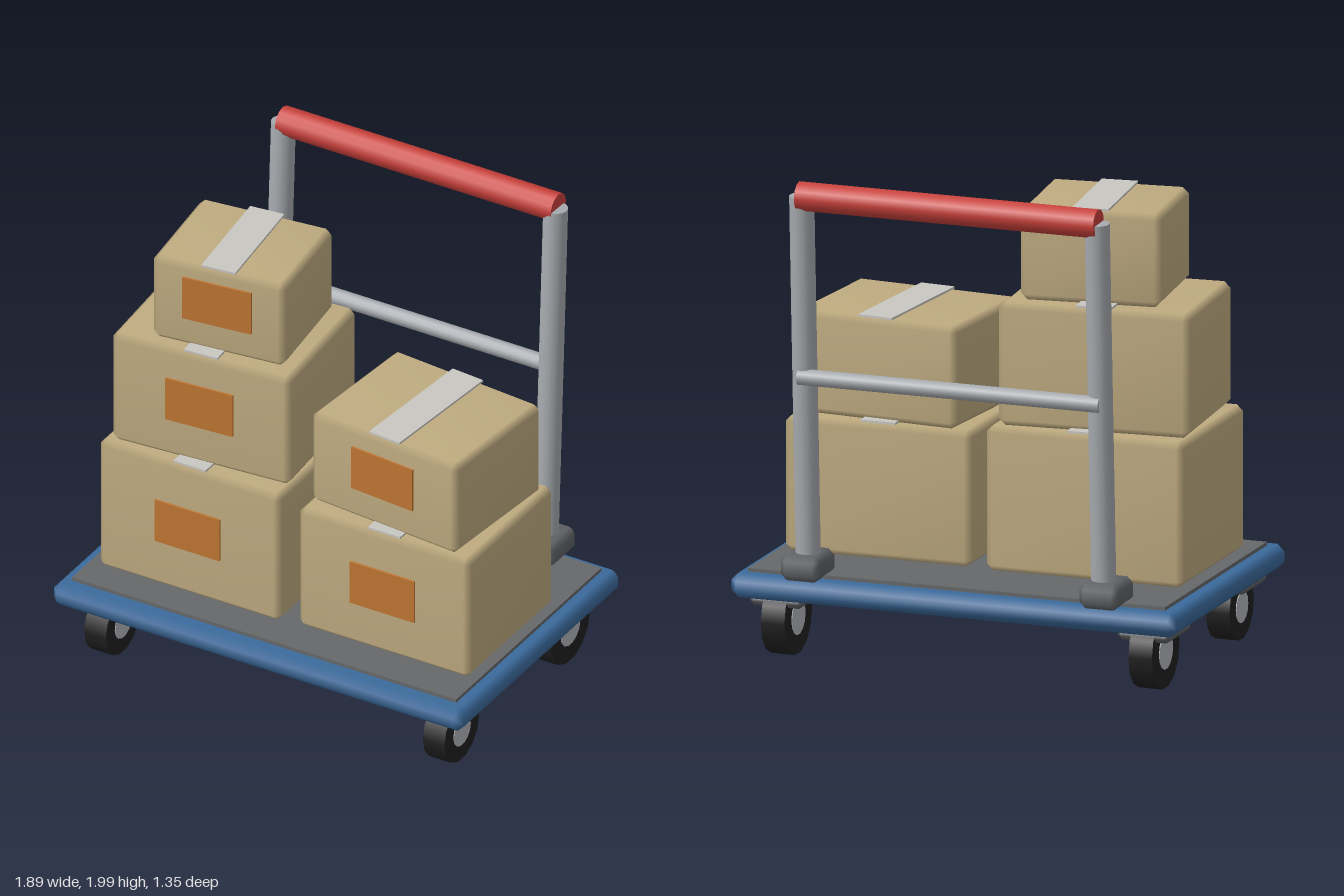
import * as THREE from 'three';
import { mergeVertices } from 'three/addons/utils/BufferGeometryUtils.js';
import { ConvexGeometry } from 'three/addons/geometries/ConvexGeometry.js';

function mat(name, color) {
  const m = new THREE.MeshStandardMaterial({ color });
  m.name = name;
  return m;
}

// Box with chamfered edges and shared, softly blended normals
function chamferBox(w, h, d, c) {
  const pts = [];
  for (const x of [-1, 1]) for (const y of [-1, 1]) for (const z of [-1, 1]) {
    for (let axis = 0; axis < 3; axis++) {
      const inset = [c, c, c];
      inset[axis] = 0;
      pts.push(new THREE.Vector3(
        x * (w / 2 - inset[0]), y * (h / 2 - inset[1]), z * (d / 2 - inset[2])));
    }
  }
  let g = new ConvexGeometry(pts);
  g.deleteAttribute('normal');
  g = mergeVertices(g, 1e-4);
  g.computeVertexNormals();
  return g;
}

export function createModel() {
  const root = new THREE.Group();
  root.name = 'platformCart';

  const blue = mat('deckBlue', 0x3b6a9c);
  const matGrey = mat('matGrey', 0x66686a);
  const darkGrey = mat('bracketGrey', 0x606366);
  const steel = mat('steel', 0xa6aaae);
  const red = mat('gripRed', 0xc8403a);
  const rubber = mat('rubber', 0x202021);
  const hubGrey = mat('hubGrey', 0xb0b4b8);
  const cardboard = mat('cardboard', 0xbfab80);
  const tapeGrey = mat('tape', 0xc9c7c2);
  const labelOrange = mat('label', 0xbf7533);

  function add(parent, name, geometry, material, x = 0, y = 0, z = 0) {
    const mesh = new THREE.Mesh(geometry, material);
    mesh.name = name;
    mesh.position.set(x, y, z);
    parent.add(mesh);
    return mesh;
  }

  // Deck with its rubber mat
  add(root, 'deck', chamferBox(1.89, 0.1, 1.26, 0.03), blue, 0, 0.31, 0.042);
  add(root, 'deckMat', new THREE.BoxGeometry(1.77, 0.03, 1.13), matGrey, 0, 0.36, 0.037);

  // Casters: small pair in front, larger pair behind
  function caster(name, x, z, r) {
    const g = new THREE.Group();
    g.name = name;
    g.position.set(x, 0, z);
    const y = r + 0.002;
    const tire = new THREE.CylinderGeometry(r, r, 0.1, 14).rotateZ(Math.PI / 2);
    const hub = new THREE.CylinderGeometry(r * 0.49, r * 0.49, 0.106, 14).rotateZ(Math.PI / 2);
    add(g, 'tire', tire, rubber, 0, y, 0);
    add(g, 'hub', hub, hubGrey, 0, y, 0);
    add(g, 'mountPlate', chamferBox(0.225, 0.05, 0.25, 0.018), darkGrey, 0, 0.24, 0);
    root.add(g);
  }
  for (const s of [-1, 1]) {
    caster('frontCaster', s * 0.78, 0.465, 0.135);
    caster('rearCaster', s * 0.78, -0.378, 0.154);
  }

  // Push handle: sockets, leaning posts, crossbar and grip
  const foot = new THREE.Vector3(0, 0.4, -0.533);
  const head = new THREE.Vector3(0, 1.94, -0.608);
  const length = foot.distanceTo(head);
  const lean = Math.atan2(head.z - foot.z, head.y - foot.y);
  const post = new THREE.CylinderGeometry(0.05, 0.05, length, 16);
  const socket = chamferBox(0.168, 0.105, 0.205, 0.025);
  for (const s of [-1, 1]) {
    const p = add(root, 'handlePost', post, steel, s * 0.627,
      (foot.y + head.y) / 2, (foot.z + head.z) / 2);
    p.rotation.x = lean;
    add(root, 'postSocket', socket, darkGrey, s * 0.634, 0.413, -0.525);
  }
  add(root, 'crossbar',
    new THREE.CylinderGeometry(0.034, 0.034, 1.28, 12).rotateZ(Math.PI / 2),
    steel, 0, 1.198, -0.604);
  add(root, 'grip',
    new THREE.CylinderGeometry(0.06, 0.06, 1.27, 12).rotateZ(Math.PI / 2),
    red, 0, 1.94, -0.615);

  // Cartons: [name, x, z, bottom, top, width, depth, turn, label height]
  const cartons = [
    ['lowerRightCarton', -0.424, 0.122, 0.372, 0.967, 0.836, 0.708, 0, 0.68],
    ['middleRightCarton', -0.424, 0.12, 0.967, 1.472, 0.79, 0.612, 0.075, 1.238],
    ['topRightCarton', -0.381, 0.124, 1.472, 1.856, 0.575, 0.492, 0.115, 1.7],
    ['lowerLeftCarton', 0.459, 0.12, 0.372, 0.928, 0.79, 0.666, 0, 0.664],
    ['topLeftCarton', 0.461, 0.12, 0.928, 1.346, 0.712, 0.588, -0.087, 1.166],
  ];
  for (const [name, x, z, y0, y1, w, d, turn, labelY] of cartons) {
    const g = new THREE.Group();
    g.name = name;
    g.position.set(x, 0, z);
    g.rotation.y = turn;
    add(g, 'carton', chamferBox(w, y1 - y0, d, 0.026), cardboard, 0, (y0 + y1) / 2, 0);
    add(g, 'tapeStrip', new THREE.BoxGeometry(0.148, 0.009, d * 0.97), tapeGrey, 0, y1 + 0.0043, 0);
    add(g, 'label', new THREE.BoxGeometry(0.298, 0.192, 0.009), labelOrange, 0, labelY, d / 2 + 0.0043);
    root.add(g);
  }

  return root;
}
